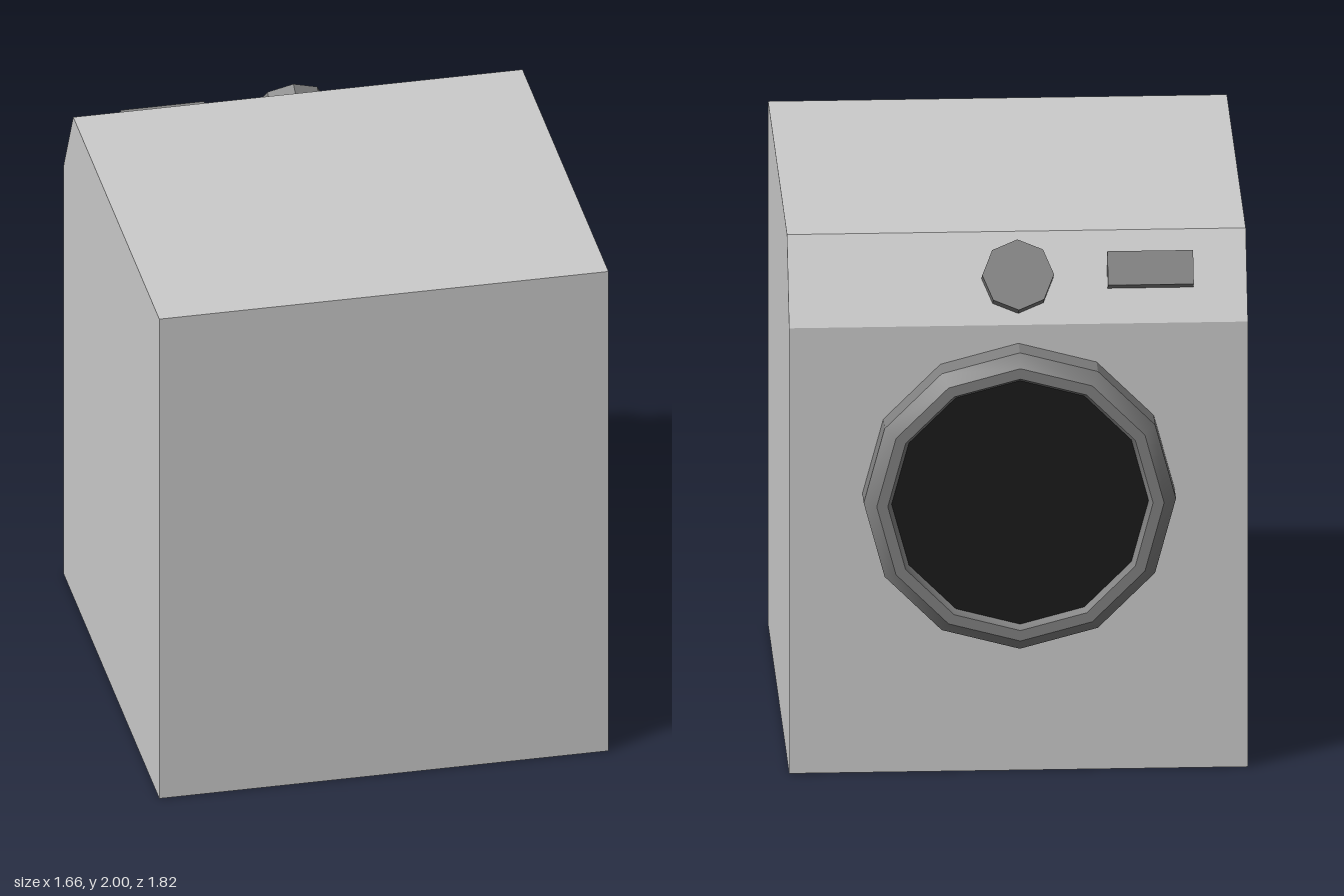
import * as THREE from 'three';
import { toCreasedNormals } from 'three/addons/utils/BufferGeometryUtils.js';

const paint = (color) => new THREE.MeshStandardMaterial({ color });

export function createModel() {
  const model = new THREE.Group();
  model.name = 'washingMachine';
  const bodyMat = paint(0xcccccc);
  const trimMat = paint(0x808080);
  const glassMat = paint(0x1a1a1a);

  const add = (parent, name, geometry, material, x, y, z) => {
    const mesh = new THREE.Mesh(geometry, material);
    mesh.name = name;
    mesh.position.set(x, y, z);
    parent.add(mesh);
    return mesh;
  };

  // Cabinet: side profile (-z, y) with a sloped control edge, extruded across x
  const width = 1.66;
  const profile = new THREE.Shape([
    [-0.91, 0], [0.755, 0], [0.755, 1.7], [0.585, 2], [-0.91, 2],
  ].map(([x, y]) => new THREE.Vector2(x, y)));
  const cabinet = new THREE.ExtrudeGeometry(profile, { depth: width, bevelEnabled: false });
  cabinet.translate(0, 0, -width / 2).rotateY(Math.PI / 2);
  add(model, 'cabinet', cabinet, bodyMat, 0, 0, 0);

  // Door: twelve-sided bevelled ring around a recessed dark window
  const door = new THREE.Group();
  door.name = 'door';
  door.position.set(0, 1.065, -0.755);
  model.add(door);
  const ringProfile = [
    [0.565, 0], [0.565, 0.107], [0.52, 0.153], [0.48, 0.153], [0.465, 0.125],
  ].map(([r, d]) => new THREE.Vector2(r, d));
  const ring = toCreasedNormals(new THREE.LatheGeometry(ringProfile, 12), 0.5);
  ring.rotateX(-Math.PI / 2);
  add(door, 'doorRing', ring, trimMat, 0, 0, 0);
  const glass = new THREE.CircleGeometry(0.467, 12).rotateY(Math.PI);
  add(door, 'doorWindow', glass, glassMat, 0, 0, -0.125);

  // Controls: local y points out of the slope, local z runs up it
  const controls = new THREE.Group();
  controls.name = 'controls';
  controls.position.set(0, 1.85, -0.67);
  controls.rotation.x = -Math.atan2(0.3, 0.17);
  model.add(controls);
  const knob = toCreasedNormals(new THREE.CylinderGeometry(0.13, 0.13, 0.065, 8), 0.5);
  add(controls, 'knob', knob, trimMat, 0, 0.0325, 0);
  add(controls, 'displayPanel', new THREE.BoxGeometry(0.31, 0.06, 0.125), trimMat, -0.48, 0.03, 0.02);

  return model;
}
